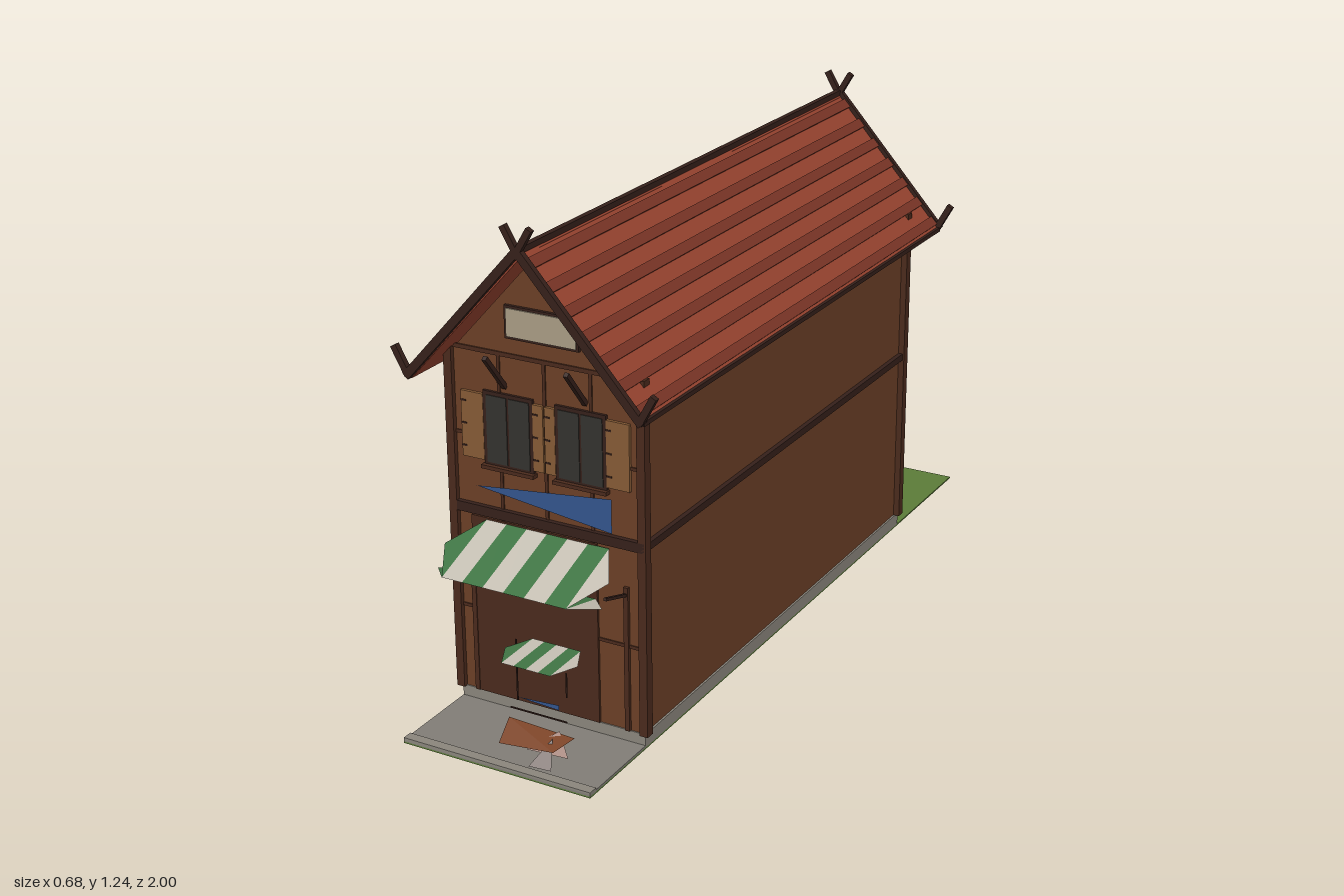
import * as THREE from 'three';

const C = { wall: 0x6b3f26, dark: 0x4a2a1c, trim: 0x35201a, roof: 0x97432f, rib: 0x7a3526, stone: 0x8a857c,
  grass: 0x5c7c38, paving: 0x817d76, green: 0x3f7444, white: 0xc4beb2, shutter: 0x855a35, glass: 0x33322e,
  cream: 0xa89c84, blue: 0x33548c, plank: 0x7c4428 };

export function createModel() {
  const model = new THREE.Group();
  const mats = {};
  const mat = (c) => (mats[c] ??= new THREE.MeshStandardMaterial({ color: C[c], flatShading: true, side: THREE.DoubleSide }));
  const add = (name, geo, c) => {
    const m = new THREE.Mesh(geo, mat(c));
    m.name = name;
    model.add(m);
    return m;
  };
  // Box given by its lower and upper limits
  const box = (name, c, x0, x1, y0, y1, z0, z1) => {
    const m = add(name, new THREE.BoxGeometry(x1 - x0, y1 - y0, z1 - z0), c);
    m.position.set((x0 + x1) / 2, (y0 + y1) / 2, (z0 + z1) / 2);
    return m;
  };
  // Square bar between two points
  const bar = (name, c, p, q, w = 0.012, d = w) => {
    const a = new THREE.Vector3(...p), b = new THREE.Vector3(...q);
    const m = add(name, new THREE.BoxGeometry(w, a.distanceTo(b), d), c);
    m.position.copy(a).add(b).multiplyScalar(0.5);
    m.quaternion.setFromUnitVectors(new THREE.Vector3(0, 1, 0), b.sub(a).normalize());
    return m;
  };
  // Thin flat polygon
  const card = (name, c, pts) => {
    const g = new THREE.BufferGeometry().setFromPoints(pts.map((p) => new THREE.Vector3(...p)));
    const idx = [];
    for (let i = 1; i < pts.length - 1; i++) idx.push(0, i, i + 1);
    g.setIndex(idx);
    g.computeVertexNormals();
    return add(name, g, c);
  };
  // Striped cloth with pointed ends, from back edge (y0, z0) to front edge (y1, z1)
  const cloth = (name, cx, half, n, y0, z0, y1, z1) => {
    const w = (2 * half) / n;
    for (let i = 0; i < n; i++) {
      const a = -half + i * w, b = a + w;
      const uv = i === 0 ? [[b, 0], [a, 0.5], [b, 1]]
        : i === n - 1 ? [[a, 0], [b, 0.5], [a, 1]]
          : [[a, 0], [b, 0], [b, 1], [a, 1]];
      card(name, i % 2 ? 'white' : 'green', uv.map(([x, v]) => [cx + x, y0 + (y1 - y0) * v, z0 + (z1 - z0) * v]));
    }
  };

  const ZB = -0.625, ZF = 0.755;

  // Ground and plinth
  box('lawn', 'grass', -0.25, 0.25, 0, 0.004, -1, 1);
  box('pavement', 'paving', -0.25, 0.25, 0.004, 0.009, 0.7, 1);
  box('kerb', 'stone', -0.25, 0.25, 0.004, 0.014, 0.975, 1);
  box('plinth', 'stone', -0.25, 0.25, 0.004, 0.037, ZB - 0.004, ZF + 0.003);

  // House body with gables
  const body = new THREE.Shape([[-0.245, 0.036], [0.245, 0.036], [0.245, 0.885], [0, 1.155], [-0.245, 0.885]]
    .map((p) => new THREE.Vector2(...p)));
  add('walls', new THREE.ExtrudeGeometry(body, { depth: ZF - ZB, bevelEnabled: false }), 'wall').position.z = ZB;

  for (const s of [-1, 1]) {
    const X = (a, b) => (s > 0 ? [a, b] : [-b, -a]);
    // Corner posts and side beam
    for (const z of [ZB, ZF]) box('cornerPost', 'dark', ...X(0.24, 0.261), 0.036, 0.905, z - 0.012, z + 0.012);
    box('sideBeam', 'trim', ...X(0.24, 0.257), 0.496, 0.514, ZB, ZF);

    // Roof slope with raised ribs
    const slope = new THREE.Group();
    slope.name = 'roofSlope';
    const len = 0.453;
    const part = (name, c, at, w, y, h) => {
      const m = add(name, new THREE.BoxGeometry(w, h, 1.555), c);
      m.position.set(at, y, 0);
      slope.add(m);
    };
    part('roofSheet', 'roof', len / 2, len, -0.006, 0.012);
    for (let i = 0; i < 7; i++) part('roofRib', 'rib', 0.035 + i * 0.065, 0.026, 0.003, 0.008);
    slope.position.set(0, 1.177, 0.0625);
    slope.rotation.z = -0.832;
    const half = new THREE.Group();
    half.add(slope);
    if (s < 0) half.rotation.y = Math.PI, half.position.z = 0.125;
    model.add(half);
    bar('eaveTrim', 'trim', [s * 0.302, 0.843, -0.72], [s * 0.302, 0.843, 0.845], 0.011);

    // Bargeboards, crossed finials and turned-up eaves
    for (const z of [-0.722, 0.847]) {
      bar('bargeboard', 'trim', [s * 0.304, 0.842, z], [0, 1.18, z], 0.02, 0.014);
      bar('finial', 'trim', [-s * 0.006, 1.165, z], [s * 0.034, 1.233, z], 0.015, 0.014);
      bar('eaveHook', 'trim', [s * 0.297, 0.843, z], [s * 0.334, 0.91, z], 0.016, 0.014);
    }
  }
  bar('ridgeBeam', 'trim', [0, 1.18, -0.72], [0, 1.18, 0.845], 0.014);

  // Timber framing on both gables
  for (const [z, d] of [[ZF, 1], [ZB, -1]]) {
    const face = (name, c, x0, x1, y0, y1, t) => box(name, c, x0, x1, y0, y1, Math.min(z, z + d * t), Math.max(z, z + d * t));
    face('floorBeam', 'trim', -0.257, 0.257, 0.496, 0.52, 0.012);
    face('tieBeam', 'dark', -0.24, 0.24, 0.893, 0.903, 0.004);
    for (const y of [0.252, 0.69]) face('rail', 'dark', -0.24, 0.24, y - 0.004, y + 0.004, 0.003);
    for (const x of [-0.12, 0, 0.12]) face('stud', 'dark', x - 0.004, x + 0.004, 0.036, 0.9, 0.003);
    for (const s of [-1, 1]) bar('eaveBrace', 'trim', [s * 0.105, 0.82, z], [s * 0.105, 0.913, z + d * 0.075], 0.011);
  }

  // Shopfront
  box('shopOpening', 'dark', -0.205, 0.13, 0.037, 0.49, ZF, ZF + 0.006);
  for (const x of [-0.205, 0.205]) {
    box('shopPost', 'dark', x - 0.006, x + 0.006, 0.037, 0.4, ZF, ZF + 0.008);
    bar('awningBracket', 'trim', [x, 0.38, ZF], [x, 0.41, 0.85], 0.007);
  }
  cloth('awning', 0, 0.217, 8, 0.486, 0.76, 0.418, 0.945);
  cloth('awningValance', 0, 0.217, 8, 0.418, 0.945, 0.388, 0.82);

  // Upper windows, shutters and sills
  for (const x of [-0.095, 0.095]) {
    box('windowFrame', 'trim', x - 0.066, x + 0.066, 0.625, 0.805, ZF, ZF + 0.007);
    for (const s of [-1, 1]) box('windowPane', 'glass', x + s * 0.03 - 0.027, x + s * 0.03 + 0.027, 0.633, 0.796, ZF, ZF + 0.009);
    box('windowSill', 'dark', x - 0.07, x + 0.07, 0.618, 0.627, ZF, ZF + 0.018);
  }
  for (const [a, b] of [[-0.22, -0.161], [-0.029, -0.002], [0.002, 0.029], [0.161, 0.22]]) {
    box('shutter', 'shutter', a, b, 0.635, 0.795, ZF, ZF + 0.008);
    for (const y of [0.66, 0.715, 0.77]) box('shutterHinge', 'trim', a, a + 0.014, y, y + 0.004, ZF, ZF + 0.0095);
  }

  // Gable board and pennant
  box('boardFrame', 'trim', -0.096, 0.096, 0.94, 1.018, ZF, ZF + 0.008);
  box('gableBoard', 'cream', -0.09, 0.09, 0.946, 1.012, ZF, ZF + 0.011);
  card('pennant', 'blue', [[-0.18, 0.572, 0.772], [0.178, 0.53, 0.772], [0.178, 0.613, 0.772]]);

  // Market stall: small canopy, thin posts, broken table
  cloth('stallCanopy', 0.08, 0.095, 6, 0.27, 0.857, 0.268, 0.985);
  bar('stallPost', 'trim', [-0.02, 0.11, 0.87], [-0.02, 0.265, 0.87], 0.003);
  bar('stallPost', 'trim', [0.17, 0.21, 0.96], [0.17, 0.27, 0.96], 0.003);
  bar('stallRail', 'trim', [-0.02, 0.107, 0.9], [0.13, 0.107, 0.9], 0.003);
  card('stallCloth', 'blue', [[0, 0.138, 0.9], [0.11, 0.132, 0.9], [0.11, 0.145, 0.9]]);
  card('tablePlank', 'plank', [[-0.025, 0.08, 0.9], [0.15, 0.072, 0.9], [0.13, 0.06, 0.96], [-0.015, 0.045, 0.96]]);
  card('tablePlank', 'plank', [[0.06, 0.05, 0.96], [0.15, 0.035, 0.93], [0.11, 0.08, 0.9]]);
  card('tableLeg', 'dark', [[0.08, 0.025, 0.985], [0.13, 0.018, 0.97], [0.11, 0.075, 0.93]]);

  // Back door
  box('backDoorFrame', 'trim', -0.06, 0.075, 0.037, 0.3, ZB - 0.007, ZB);
  box('backDoor', 'wall', -0.05, 0.065, 0.037, 0.29, ZB - 0.009, ZB);
  box('doorStud', 'trim', 0.005, 0.01, 0.037, 0.29, ZB - 0.011, ZB);
  box('doorRail', 'trim', -0.05, 0.065, 0.16, 0.166, ZB - 0.011, ZB);

  // Hoops on the lawn
  for (const [x, z] of [[-0.1, -0.84], [0.02, -0.872]]) {
    for (const y of [0.07, 0.09]) {
      const hoop = add('hoop', new THREE.TorusGeometry(0.038, 0.004, 4, 6), 'trim');
      hoop.rotation.x = Math.PI / 2;
      hoop.position.set(x, y, z);
    }
  }
  return model;
}
